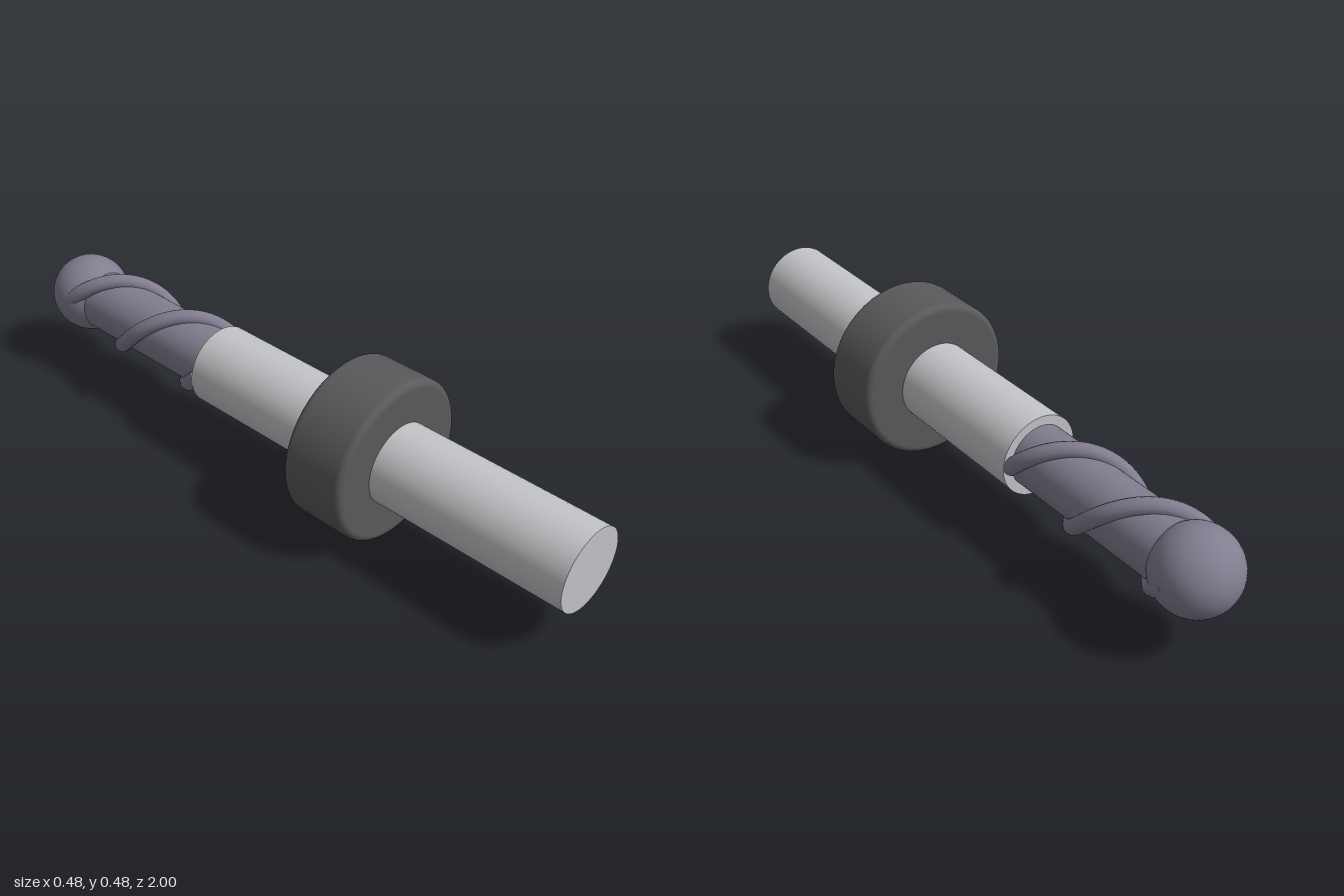
import * as THREE from 'three';

const AXIS_Y = 0.24;   // height of the tool axis
const SHANK_END = -0.28;
const BALL_Z = -0.88;

export function createModel() {
  const model = new THREE.Group();
  const mat = (name, color) => {
    const m = new THREE.MeshStandardMaterial({ color });
    m.name = name;
    return m;
  };
  const steel = mat('light steel', 0xc3c4c7);
  const carbide = mat('violet grey carbide', 0x827d8f);
  const rubber = mat('dark grey', 0x5a5a5c);

  const add = (name, geometry, material, z = 0) => {
    const mesh = new THREE.Mesh(geometry, material);
    mesh.name = name;
    mesh.position.set(0, AXIS_Y, z);
    model.add(mesh);
    return mesh;
  };
  // Cylinder lying along z between two stations
  const rod = (name, radius, z0, z1, material) =>
    add(name, new THREE.CylinderGeometry(radius, radius, z1 - z0, 48).rotateX(Math.PI / 2),
      material, (z0 + z1) / 2);

  rod('shank', 0.12, SHANK_END, 1, steel);
  rod('fluteCore', 0.092, BALL_Z, SHANK_END, carbide);
  add('ballNose', new THREE.SphereGeometry(0.12, 48, 32).rotateX(Math.PI / 2), carbide, BALL_Z);

  // Depth collar with rounded rims
  const R = 0.24, H = 0.1, B = 0.02;
  const profile = [new THREE.Vector2(0.115, -H), new THREE.Vector2(R - B - 0.002, -H)];
  for (const [side, start] of [[-1, -Math.PI / 2], [1, 0]]) {
    for (let i = 0; i <= 6; i++) {
      const a = start + (i / 6) * Math.PI / 2;
      profile.push(new THREE.Vector2(R - B + B * Math.cos(a), side * (H - B) + B * Math.sin(a)));
    }
  }
  profile.push(new THREE.Vector2(R - B - 0.002, H), new THREE.Vector2(0.115, H));
  add('depthCollar', new THREE.LatheGeometry(profile, 48).rotateX(Math.PI / 2), rubber, 0.3);

  // Two helical cutting edges, one full turn each, half a turn apart
  const helixR = 0.097, tubeR = 0.024;
  for (const [name, sign] of [['cuttingEdgeA', 1], ['cuttingEdgeB', -1]]) {
    const points = [];
    for (let i = 0; i <= 48; i++) {
      const t = i / 48, a = t * Math.PI * 2;
      points.push(new THREE.Vector3(-sign * helixR * Math.cos(a), sign * helixR * Math.sin(a),
        BALL_Z + t * (SHANK_END - BALL_Z)));
    }
    const curve = new THREE.CatmullRomCurve3(points);
    add(name, new THREE.TubeGeometry(curve, 120, tubeR, 14), carbide);
    // Flat caps closing both ends
    for (const t of [0, 1]) {
      const cap = add(name + 'Cap', new THREE.CircleGeometry(tubeR, 14), carbide);
      const out = curve.getTangentAt(t).multiplyScalar(t ? 1 : -1);
      cap.quaternion.setFromUnitVectors(new THREE.Vector3(0, 0, 1), out);
      cap.position.add(curve.getPointAt(t));
    }
  }
  return model;
}
